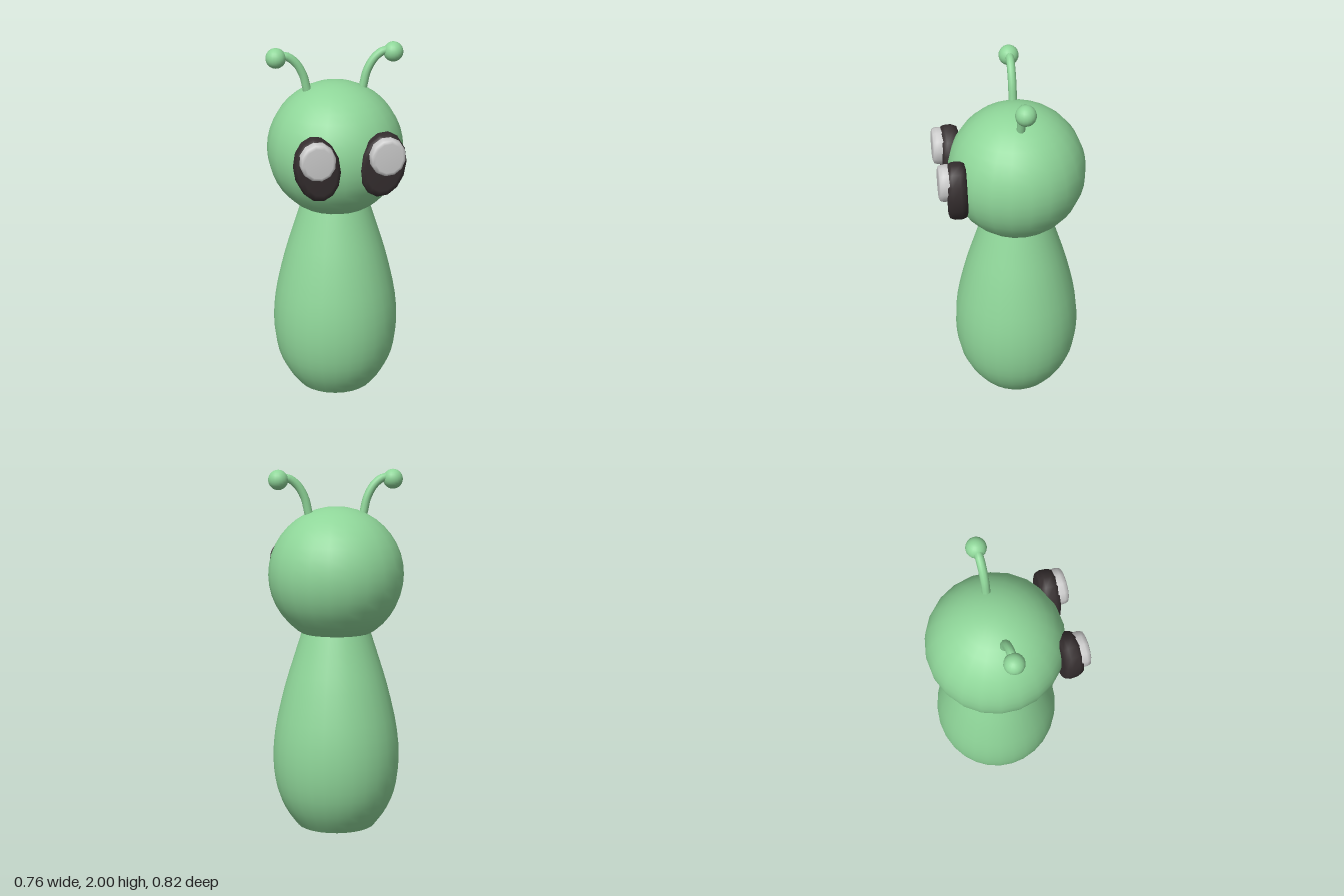
import * as THREE from 'three';

const AXIS_Z = -0.035; // body and head share this vertical axis

function material(name, color) {
  const m = new THREE.MeshStandardMaterial({ color });
  m.name = name;
  return m;
}

function addMesh(parent, name, geometry, mat, x = 0, y = 0, z = 0) {
  const mesh = new THREE.Mesh(geometry, mat);
  mesh.name = name;
  mesh.position.set(x, y, z);
  parent.add(mesh);
  return mesh;
}

// Oval disc with rounded rims, facing +z, of unit radius and the given depth
function ovalDisc(depth, rim, segments) {
  const h = depth / 2;
  const profile = [
    [0, -h], [rim, -h], [(1 + rim) / 2 + 0.05, -h * 0.85], [1, -h * 0.4],
    [1, h * 0.4], [(1 + rim) / 2 + 0.05, h * 0.85], [rim, h], [0, h],
  ].map(([r, y]) => new THREE.Vector2(r, y));
  return new THREE.LatheGeometry(profile, segments).rotateX(Math.PI / 2);
}

export function createModel() {
  const model = new THREE.Group();
  const green = material('skin green', 0x8fd699);
  const dark = material('eye black', 0x352e2f);
  const white = material('eye highlight', 0xcccccc);

  // Pear-shaped body, with a separate flat base to keep its edge sharp
  const side = new THREE.SplineCurve([
    [0.22, 0], [0.285, 0.09], [0.335, 0.21], [0.356, 0.37], [0.342, 0.56],
    [0.29, 0.79], [0.235, 0.97], [0.19, 1.11],
  ].map(([r, y]) => new THREE.Vector2(r, y)));
  addMesh(model, 'body', new THREE.LatheGeometry(side.getPoints(18), 28), green, 0, 0, AXIS_Z);
  addMesh(model, 'base', new THREE.CircleGeometry(0.22, 28).rotateX(Math.PI / 2), green, 0, 0, AXIS_Z);

  // Head
  const head = addMesh(model, 'head', new THREE.SphereGeometry(0.377, 22, 20), green, 0, 1.423, AXIS_Z);
  head.rotation.y = 0.07;

  for (const s of [1, -1]) {
    const label = s > 0 ? 'left' : 'right';

    // Antenna: curved stalk ending in a ball
    const path = new THREE.CatmullRomCurve3([
      [0.145, 1.71], [0.158, 1.77], [0.178, 1.85], [0.22, 1.92], [0.275, 1.957], [0.325, 1.95],
    ].map(([x, y]) => new THREE.Vector3(s * x, y, AXIS_Z)));
    addMesh(model, label + 'AntennaStalk', new THREE.TubeGeometry(path, 16, 0.023, 10), green);
    addMesh(model, label + 'AntennaBall', new THREE.SphereGeometry(0.055, 18, 14), green, s * 0.325, 1.947, AXIS_Z);

    // Eye: thick dark oval leaning outward, with a pale highlight in front
    const eye = addMesh(model, label + 'Eye', ovalDisc(0.108, 0.76, 14), dark, s * 0.178, 1.428, 0.309);
    eye.scale.set(0.124, 0.179, 1);
    eye.rotation.set(0.03, -s * 0.06, -s * 0.17);
    const shine = addMesh(model, label + 'EyeHighlight', ovalDisc(0.085, 0.78, 12), white, s * 0.188, 1.49, 0.367);
    shine.scale.set(0.097, 0.104, 1);
    shine.rotation.z = -s * 0.17;
  }
  return model;
}
